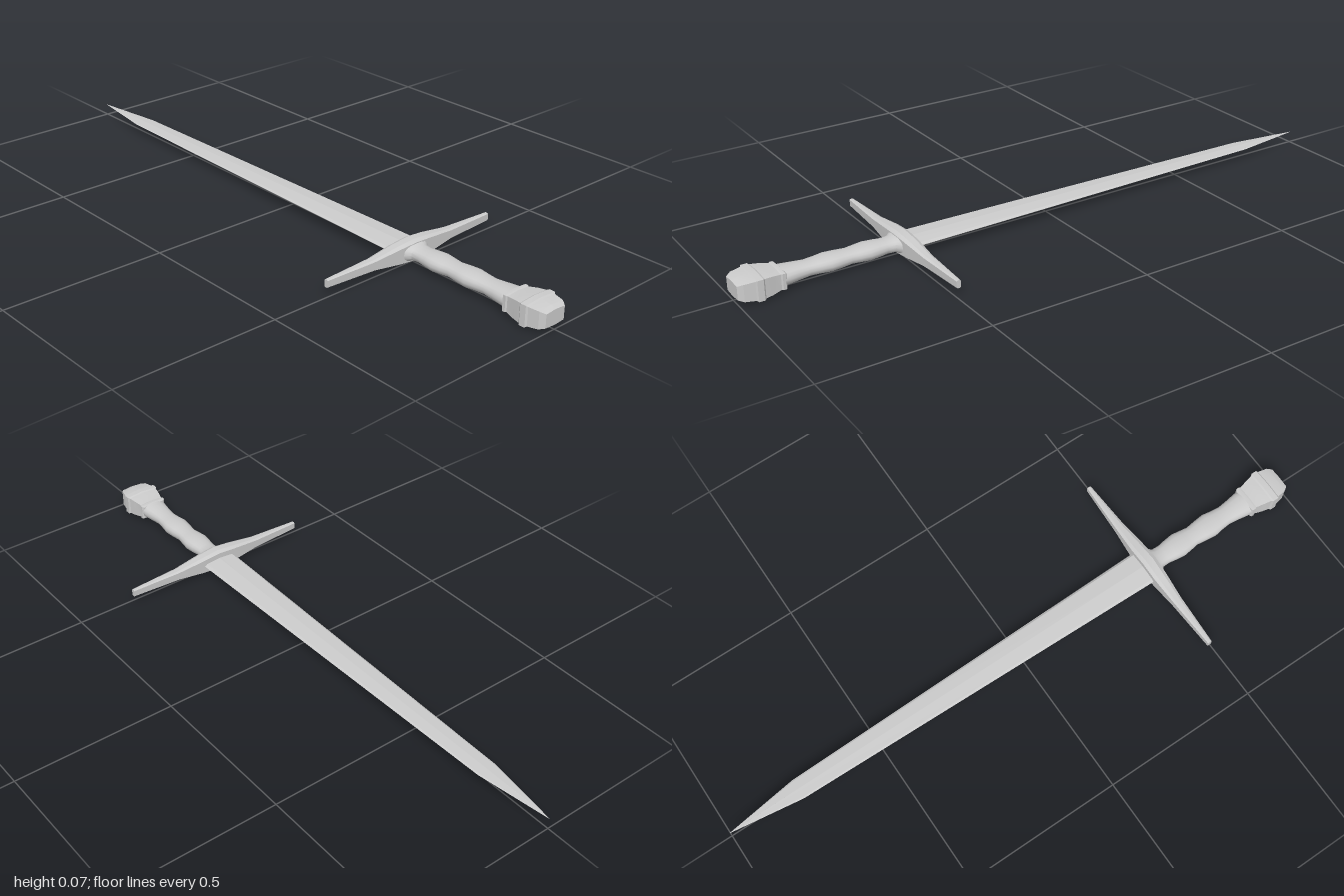
import * as THREE from 'three';
import { toCreasedNormals } from 'three/addons/utils/BufferGeometryUtils.js';

const MID_Y = 0.038;
const material = new THREE.MeshStandardMaterial({ color: 0xcccccc });

// Joins equal-length rings of Vector3 into a capped skin (rings run anticlockwise about the path).
function loft(name, rings, crease) {
  const n = rings[0].length;
  const pos = [];
  const tri = (...pts) => pts.forEach((p) => pos.push(p.x, p.y, p.z));
  for (let i = 0; i < rings.length - 1; i++) {
    for (let j = 0; j < n; j++) {
      const k = (j + 1) % n;
      const [a, b, c, d] = [rings[i][j], rings[i][k], rings[i + 1][k], rings[i + 1][j]];
      tri(a, b, c);
      tri(a, c, d);
    }
  }
  const first = rings[0], last = rings[rings.length - 1];
  for (let j = 1; j < n - 1; j++) {
    tri(first[0], first[j + 1], first[j]);
    tri(last[0], last[j], last[j + 1]);
  }
  const geometry = new THREE.BufferGeometry();
  geometry.setAttribute('position', new THREE.Float32BufferAttribute(pos, 3));
  const mesh = new THREE.Mesh(toCreasedNormals(geometry, crease), material);
  mesh.name = name;
  return mesh;
}

// Scales a unit section along z; each station is [z, halfWidth, halfHeight].
function loftZ(name, section, stations, crease) {
  const rings = stations.map(([z, w, h]) =>
    section.map(([u, v]) => new THREE.Vector3(u * w, MID_Y + v * h, z)));
  return loft(name, rings, crease);
}

export function createModel() {
  const sword = new THREE.Group();
  sword.name = 'sword';

  // Blade: central ridge with bevelled cutting edges
  const bladeSection = [[1, 0], [0.86, 0.6], [0, 1], [-0.86, 0.6], [-1, 0], [-0.86, -0.6], [0, -1], [0.86, -0.6]];
  sword.add(loftZ('blade', bladeSection, [
    [-1, 0.0005, 0.0005], [-0.77, 0.033, 0.004], [0.48, 0.057, 0.01],
  ], 0.1));

  // Crossguard: chamfered bar tapering from a peaked centre to slim ends
  const half = [ // x, half height, blade-side z, grip-side z
    [0, 0.034, 0.47, 0.515], [0.06, 0.028, 0.47, 0.512],
    [0.15, 0.0155, 0.476, 0.505], [0.315, 0.012, 0.484, 0.497],
  ];
  const bar = [...half.slice(1).reverse().map(([x, ...r]) => [-x, ...r]), ...half];
  const guardRings = bar.map(([x, h, z0, z1]) => {
    const c = (z1 - z0) * 0.25;
    return [[h, z0 + c], [h, z1 - c], [h * 0.8, z1], [-h * 0.8, z1],
      [-h, z1 - c], [-h, z0 + c], [-h * 0.8, z0], [h * 0.8, z0]]
      .map(([y, z]) => new THREE.Vector3(x, MID_Y + y, z));
  });
  sword.add(loft('crossguard', guardRings, 0.3));

  // Grip: rounded section with finger swells, flared into the guard
  const gripSection = Array.from({ length: 16 }, (_, i) => {
    const a = (i / 16) * Math.PI * 2;
    const soft = (t) => Math.sign(t) * Math.abs(t) ** 0.8;
    return [soft(Math.cos(a)), soft(Math.sin(a))];
  });
  sword.add(loftZ('grip', gripSection, [
    [0.505, 0.055, 0.028], [0.515, 0.044, 0.024], [0.527, 0.033, 0.02], [0.55, 0.032, 0.019],
    [0.575, 0.036, 0.021], [0.605, 0.04, 0.022], [0.635, 0.036, 0.02], [0.66, 0.032, 0.019],
    [0.69, 0.036, 0.021], [0.725, 0.04, 0.022], [0.755, 0.035, 0.02], [0.785, 0.032, 0.019],
    [0.82, 0.036, 0.022], [0.85, 0.041, 0.024], [0.87, 0.042, 0.026],
  ], 0.7));

  // Pommel: six-sided block with peaked top and bottom, collar, raised band and bevelled end
  const pommelSection = [[1, -0.88], [1, 0.88], [0, 1], [-1, 0.88], [-1, -0.88], [0, -1]];
  sword.add(loftZ('pommel', pommelSection, [
    [0.86, 0.038, 0.023], [0.864, 0.044, 0.027], [0.873, 0.044, 0.027], [0.877, 0.041, 0.026],
    [0.905, 0.048, 0.031], [0.927, 0.052, 0.033], [0.932, 0.057, 0.0355], [0.95, 0.057, 0.0355],
    [0.954, 0.052, 0.032], [0.985, 0.046, 0.029], [1, 0.036, 0.023],
  ], 0.3));

  // Rest the lowest point on the ground
  const box = new THREE.Box3().setFromObject(sword);
  sword.position.y = -box.min.y;
  return sword;
}
